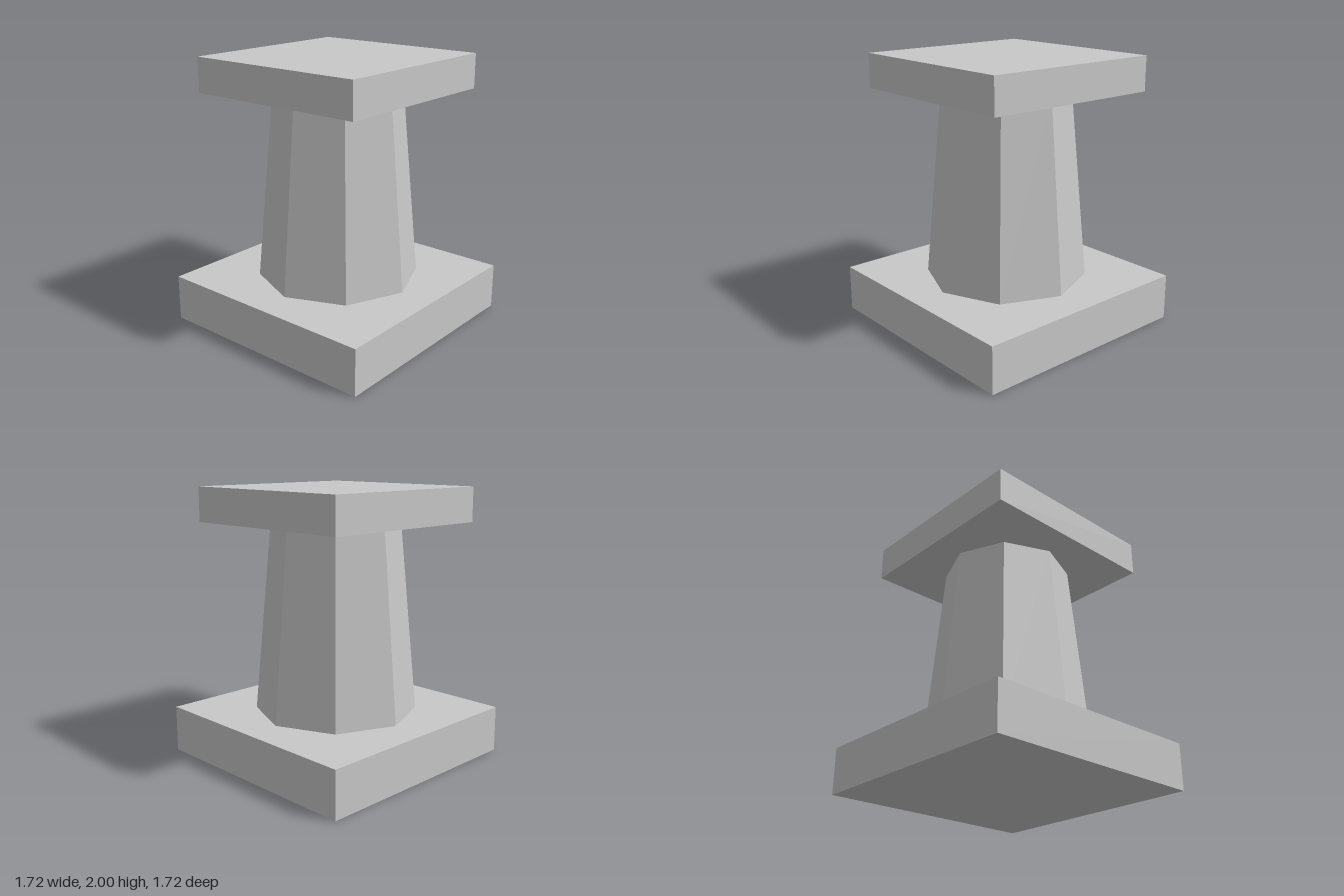
import * as THREE from 'three';

export function createModel() {
  const group = new THREE.Group();
  group.name = 'pedestal';
  const stone = new THREE.MeshStandardMaterial({ color: 0xc8c8c8, flatShading: true });
  stone.name = 'light grey stone';

  const baseTop = 0.343, capBottom = 1.745, height = 2;

  // Adds a part that spans from y0 to y1
  const add = (name, geometry, y0, y1) => {
    const mesh = new THREE.Mesh(geometry, stone);
    mesh.name = name;
    mesh.position.y = (y0 + y1) / 2;
    group.add(mesh);
  };

  // Square slabs at the foot and the head
  add('base', new THREE.BoxGeometry(1.72, baseTop, 1.72), 0, baseTop);
  add('cap', new THREE.BoxGeometry(1.395, height - capBottom, 1.395), capBottom, height);

  // Tapered eight-sided shaft with corners on the axes
  add('shaft', new THREE.CylinderGeometry(0.473, 0.602, capBottom - baseTop, 8, 1, true), baseTop, capBottom);

  return group;
}
